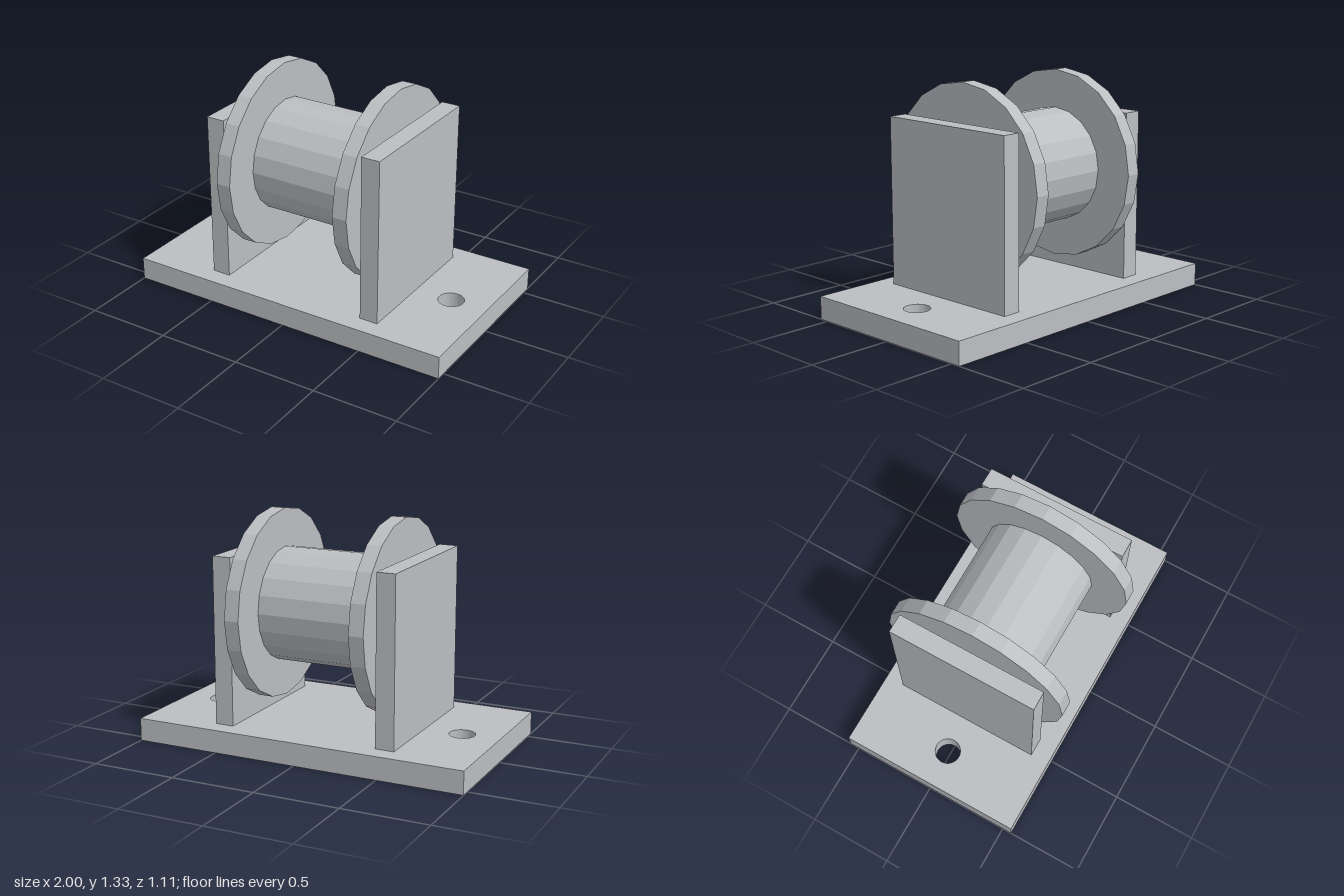
import * as THREE from 'three';

export function createModel() {
  const model = new THREE.Group();
  const steel = new THREE.MeshStandardMaterial({ color: 0xbcbec2, flatShading: true });
  steel.name = 'grey steel';

  const axisY = 0.778;
  const baseHeight = 0.134;
  const sides = 20;

  function add(name, geometry, x = 0, y = 0, z = 0) {
    const mesh = new THREE.Mesh(geometry, steel);
    mesh.name = name;
    mesh.position.set(x, y, z);
    model.add(mesh);
  }

  // Cylinder lying along x between two x positions
  function addRound(name, radius, x0, x1) {
    const geometry = new THREE.CylinderGeometry(radius, radius, x1 - x0, sides);
    geometry.rotateZ(Math.PI / 2);
    add(name, geometry, (x0 + x1) / 2, axisY);
  }

  // Base plate with two bolt holes
  const outline = new THREE.Shape([
    new THREE.Vector2(-1, -0.556), new THREE.Vector2(1, -0.556),
    new THREE.Vector2(1, 0.556), new THREE.Vector2(-1, 0.556),
  ]);
  for (const side of [-1, 1]) {
    const hole = new THREE.Path();
    hole.absarc(side * 0.778, 0, 0.075, 0, Math.PI * 2, true);
    outline.holes.push(hole);
  }
  const base = new THREE.ExtrudeGeometry(outline, {
    depth: baseHeight, bevelEnabled: false, curveSegments: 16,
  });
  base.rotateX(-Math.PI / 2);
  add('basePlate', base);

  // Spool drum
  addRound('drum', 0.333, -0.334, 0.334);

  for (const [label, s] of [['right', -1], ['left', 1]]) {
    const span = (a, b) => (s > 0 ? [a, b] : [-b, -a]);
    // Spool flange, axle stub and upright support
    addRound(label + 'Flange', 0.556, ...span(0.334, 0.422));
    addRound(label + 'Axle', 0.111, ...span(0.422, 0.445));
    const height = 1.111 - baseHeight;
    add(label + 'Support', new THREE.BoxGeometry(0.111, height, 0.889),
      s * 0.5, baseHeight + height / 2);
  }
  return model;
}
